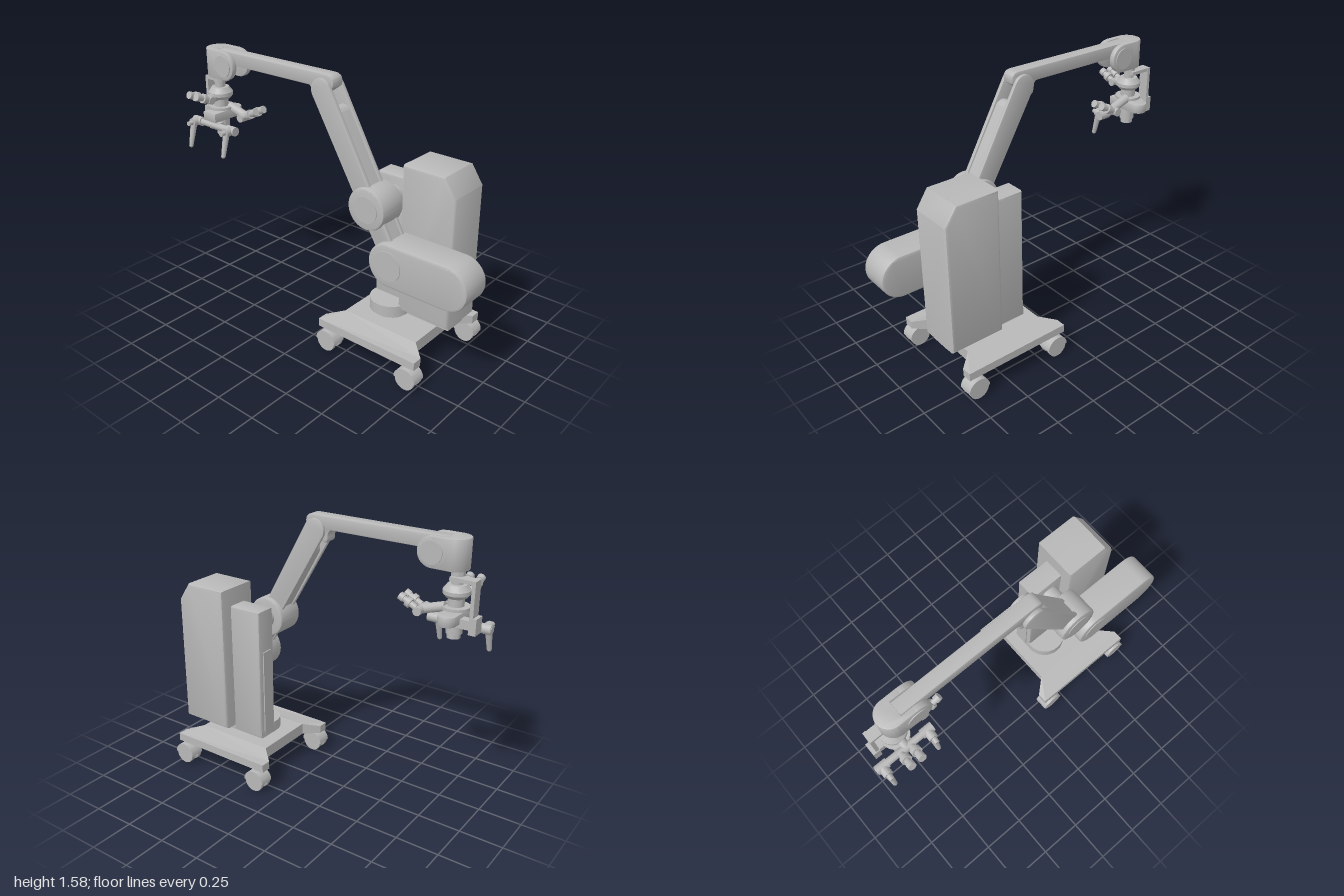
import * as THREE from 'three';
import { toCreasedNormals } from 'three/addons/utils/BufferGeometryUtils.js';

const V = (x, y, z) => new THREE.Vector3(x, y, z);

export function createModel() {
  const root = new THREE.Group();
  const grey = new THREE.MeshStandardMaterial({ color: 0xb8b8b8 });

  const add = (name, geo, parent = root) => {
    const m = new THREE.Mesh(geo, grey);
    m.name = name;
    parent.add(m);
    return m;
  };
  const poly = pts => new THREE.Shape(pts.map(p => new THREE.Vector2(...p)));
  // Rounded link outline between two points, drawn in (z, y)
  const link = (z0, y0, r0, z1, y1, r1) => {
    const a = Math.atan2(y1 - y0, z1 - z0), q = Math.PI / 2;
    const s = new THREE.Shape();
    s.absarc(z1, y1, r1, a - q, a + q, false);
    s.absarc(z0, y0, r0, a + q, a + 3 * q, false);
    return s;
  };
  const extrude = (shape, d, b) => toCreasedNormals(new THREE.ExtrudeGeometry(shape, {
    depth: d - 2 * b, curveSegments: 20, bevelEnabled: b > 0, bevelThickness: b,
    bevelSize: b, bevelOffset: -b, bevelSegments: 2,
  }).translate(0, 0, b), 0.6);
  // Side outline (z, y) extruded across x
  const slab = (name, shape, x0, x1, b = 0, parent = root) =>
    add(name, extrude(shape, x1 - x0, b).rotateY(-Math.PI / 2).translate(x1, 0, 0), parent);
  // Plan outline (x, -z) extruded upwards
  const plan = (name, shape, y0, y1, b = 0, parent = root) =>
    add(name, extrude(shape, y1 - y0, b).rotateX(-Math.PI / 2).translate(0, y0, 0), parent);
  const box = (name, x0, x1, y0, y1, z0, z1, parent = root) =>
    add(name, new THREE.BoxGeometry(x1 - x0, y1 - y0, z1 - z0)
      .translate((x0 + x1) / 2, (y0 + y1) / 2, (z0 + z1) / 2), parent);
  // Round bar between two points
  const rod = (name, p, q, r0, r1 = r0, parent = root) => {
    const d = q.clone().sub(p);
    const m = add(name, new THREE.CylinderGeometry(r1, r0, d.length(), 24), parent);
    m.position.copy(p).add(q).multiplyScalar(0.5);
    m.quaternion.setFromUnitVectors(V(0, 1, 0), d.normalize());
    return m;
  };

  // Base: flat centre with wings that slope down to the corners
  const base = new THREE.Group();
  base.name = 'base';
  root.add(base);
  box('basePlate', -0.175, 0.195, 0.135, 0.205, 0.18, 0.67, base);
  for (const s of [-1, 1]) {
    const wing = [[0.185, 0.245], [0.26, 0.33], [0.32, 0.33], [0.32, -0.33], [0.26, -0.33], [0.185, -0.245]]
      .map(([x, v]) => [s * x + 0.01, v - 0.425]);
    const geo = new THREE.ExtrudeGeometry(poly(wing), { depth: 0.07, bevelEnabled: false })
      .rotateX(-Math.PI / 2).translate(0, 0.135, 0);
    const p = geo.attributes.position;
    for (let i = 0; i < p.count; i++)
      if (p.getY(i) > 0.2 && Math.abs(p.getX(i) - 0.01) > 0.2) p.setY(i, 0.183);
    geo.computeVertexNormals();
    add('baseWing', geo, base);
  }

  // Twin-wheel casters
  for (const x of [-0.283, 0.305]) for (const z of [0.155, 0.705]) {
    const c = new THREE.Group();
    c.name = 'caster';
    c.position.set(x, 0, z);
    root.add(c);
    const hood = new THREE.Shape();
    hood.absarc(0, 0.06, 0.067, 0, Math.PI, false);
    slab('casterHood', hood, -0.042, 0.042, 0, c);
    for (const s of [-1, 1]) {
      rod('wheel', V(s * 0.018, 0.06, 0), V(s * 0.04, 0.06, 0), 0.06, 0.06, c);
      rod('wheelHub', V(s * 0.002, 0.06, 0), V(s * 0.018, 0.06, 0), 0.035, 0.06, c);
    }
    rod('casterStem', V(0, 0.09, 0), V(0, 0.14, 0), 0.018, 0.018, c);
  }

  // Turntable and tower
  rod('turntableFoot', V(0.01, 0.2, 0.365), V(0.01, 0.23, 0.365), 0.1);
  rod('turntable', V(0.01, 0.225, 0.365), V(0.01, 0.29, 0.365), 0.122);
  box('towerFoot', 0, 0.145, 0.225, 0.27, 0.245, 0.76);
  slab('cabinet', poly([[0.45, 0.26], [0.78, 0.26], [0.78, 1.03], [0.71, 1.135], [0.45, 1.135]]), -0.045, 0.225, 0.017);
  slab('column', poly([[0.245, 0.225], [0.46, 0.225], [0.46, 1.03], [0.245, 1.03]]), 0.02, 0.15, 0.014);
  box('columnRail', 0.05, 0.12, 0.25, 0.78, 0.238, 0.25);

  // Shoulder joint with its shaft into the column
  rod('shoulderShaft', V(-0.08, 0.92, 0.36), V(0.04, 0.92, 0.36), 0.06);
  slab('shoulder', link(0.36, 0.92, 0.118, 0.3601, 0.92, 0.118), -0.235, -0.06, 0.012);
  rod('shoulderCap', V(-0.23, 0.92, 0.36), V(-0.239, 0.92, 0.36), 0.075);

  // Counterweight
  slab('counterweight', link(0.52, 0.65, 0.125, 0.875, 0.65, 0.125), -0.25, -0.062, 0.012);
  rod('counterweightCap', V(-0.245, 0.65, 0.52), V(-0.254, 0.65, 0.52), 0.085);

  // Main arm: solid core between two cheeks that form the elbow fork
  slab('armCore', link(0.514, 0.65, 0.05, 0.11, 1.36, 0.05), -0.19, -0.105);
  for (const [x0, x1] of [[-0.21, -0.187], [-0.108, -0.086]])
    slab('armCheek', link(0.514, 0.65, 0.055, 0.035, 1.488, 0.065), x0, x1, 0.004);

  // Forearm, hooked around the elbow
  const fore = new THREE.Shape();
  fore.moveTo(-0.78, 1.572);
  fore.lineTo(-0.78, 1.495);
  fore.lineTo(-0.065, 1.495);
  fore.quadraticCurveTo(-0.045, 1.485, -0.045, 1.455);
  fore.quadraticCurveTo(-0.045, 1.425, -0.02, 1.422);
  fore.quadraticCurveTo(0.0, 1.425, 0.03, 1.46);
  fore.lineTo(0.1, 1.51);
  fore.quadraticCurveTo(0.115, 1.572, 0.055, 1.574);
  slab('forearm', fore, -0.187, -0.106, 0.01);

  // Wrist head: slotted block with a round rear end and round cheeks
  const head = new THREE.Shape();
  head.moveTo(-0.07, 0.69);
  head.lineTo(-0.07, 0.79);
  head.absarc(-0.146, 0.79, 0.076, 0, Math.PI, false);
  for (const p of [[-0.222, 0.69], [-0.188, 0.69], [-0.188, 0.755], [-0.105, 0.755], [-0.105, 0.69]]) head.lineTo(...p);
  plan('wristHead', head, 1.408, 1.575, 0.006);
  for (const [x0, x1, cap] of [[-0.222, -0.188, -0.227], [-0.105, -0.07, -0.065]]) {
    slab('wristCheek', link(-0.69, 1.491, 0.083, -0.6901, 1.491, 0.083), x0, x1, 0.006);
    rod('wristCap', V((x0 + x1) / 2, 1.49, -0.69), V(cap, 1.49, -0.69), 0.062);
  }

  // Optical head hanging from the wrist
  const cx = -0.14, cz = -0.812;
  const optics = new THREE.LatheGeometry([
    [0, 1.045], [0.036, 1.045], [0.036, 1.07], [0.043, 1.07], [0.043, 1.265], [0.055, 1.265],
    [0.072, 1.285], [0.072, 1.305], [0.05, 1.335], [0.03, 1.335], [0.03, 1.365], [0.036, 1.365],
    [0.036, 1.41], [0, 1.41],
  ].map(p => new THREE.Vector2(...p)), 32);
  add('opticsBody', toCreasedNormals(optics, 0.5)).position.set(cx, 0, cz);
  rod('opticsCollar', V(cx, 1.205, cz), V(cx, 1.22, cz), 0.076);
  const bracket = new THREE.Shape();
  bracket.absarc(-0.05, -cz, 0.05, -Math.PI / 2, Math.PI / 2, false);
  bracket.lineTo(-0.24, 0.862);
  bracket.lineTo(-0.24, 0.762);
  plan('opticsBracket', bracket, 1.14, 1.195, 0.004);

  // Rear hanger
  box('hangerTop', -0.145, -0.085, 1.36, 1.38, -0.935, -0.79);
  box('hangerBar', -0.145, -0.082, 1.11, 1.38, -0.935, -0.915);
  box('hangerFoot', -0.15, -0.08, 1.1, 1.19, -0.955, -0.915);
  box('hangerArm', -0.14, -0.09, 1.12, 1.17, -0.92, -0.84);

  // Handlebar with two hanging grips
  rod('handlebar', V(-0.2, 1.105, -0.995), V(-0.2, 1.105, -0.635), 0.02);
  box('handlebarMount', -0.21, -0.13, 1.085, 1.125, -0.85, -0.775);
  for (const z of [-0.67, -0.957]) {
    rod('gripClamp', V(-0.2, 1.105, z - 0.035), V(-0.2, 1.105, z + 0.035), 0.027);
    rod('gripKnob', V(-0.19, 1.105, z), V(-0.255, 1.105, z), 0.026);
    rod('gripKnobEnd', V(-0.255, 1.105, z), V(-0.285, 1.105, z), 0.014);
    rod('grip', V(-0.243, 1.095, z), V(-0.276, 0.965, z), 0.02, 0.013);
    add('gripTip', new THREE.SphereGeometry(0.013, 16, 10)).position.set(-0.276, 0.966, z);
  }

  // Eyepieces: a pair to the right and a pair to the front
  const eyepiece = (p, dir) => {
    const at = t => p.clone().addScaledVector(dir, t);
    rod('eyepieceTube', at(0), at(0.105), 0.017);
    rod('eyepieceCollar', at(0.035), at(0.06), 0.028);
    rod('eyepieceCup', at(0.08), at(0.108), 0.022);
  };
  const right = V(-0.92, 0.38, 0).normalize(), front = V(0, 0.45, 0.88).normalize();
  for (const z of [-0.85, -0.788]) eyepiece(V(-0.248, 1.28, z), right);
  for (const x of [-0.135, -0.072]) eyepiece(V(x, 1.185, -0.622), front);
  rod('rightEyepieceJoint', V(-0.245, 1.277, -0.87), V(-0.245, 1.277, -0.768), 0.022);
  rod('rightEyepieceArm', V(-0.14, 1.277, cz), V(-0.245, 1.277, cz), 0.025);
  rod('frontEyepieceJoint', V(-0.16, 1.175, -0.64), V(-0.045, 1.175, -0.64), 0.024);
  rod('frontEyepieceArm', V(-0.11, 1.215, -0.77), V(-0.105, 1.175, -0.64), 0.026);

  return root;
}
